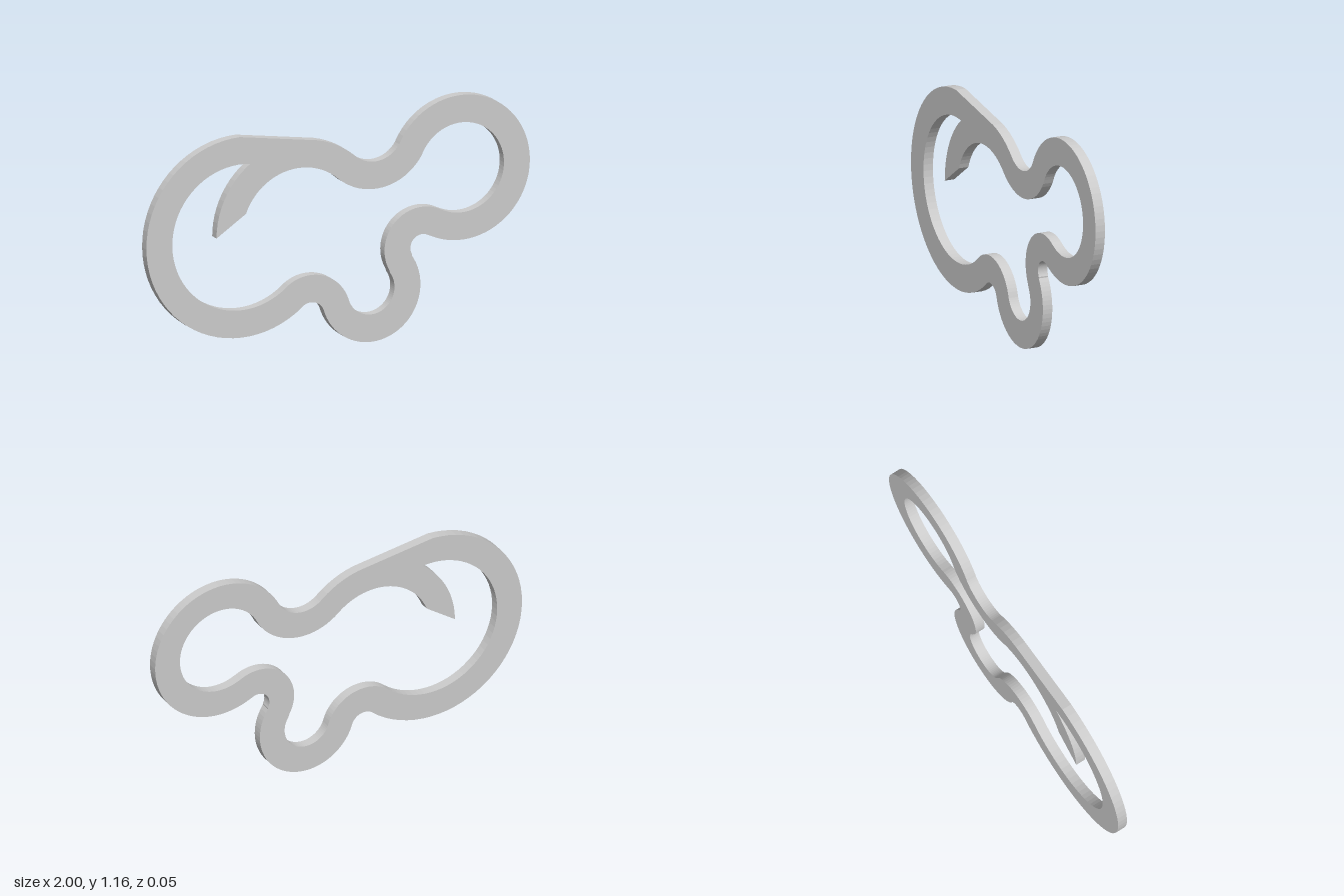
import * as THREE from 'three';

const HALF = 0.0675;   // half the band width
const DEPTH = 0.05;
const STEP = THREE.MathUtils.degToRad(5);
const TAU = Math.PI * 2;
const rad = THREE.MathUtils.degToRad;

// Chain of touching circles along the band's centre line, counter-clockwise.
// side +1: lobe bulging outward, side -1: notch curving inward.
const CHAIN = [
  { x: -0.505, y: 0.592, r: 0.4275, side: 1 },   // big left lobe
  { x: -0.142, y: 0.16, r: 0.1375, side: -1 },   // lower left notch
  { x: 0.17, y: 0.257, r: 0.1895, side: 1 },     // bottom lobe
  { x: 0.437, y: 0.439, r: 0.1295, side: -1 },   // lower right notch
  { x: 0.64, y: 0.807, r: 0.2895, side: 1 },     // right lobe
  { x: 0.189, y: 1.037, r: 0.2175, side: -1 },   // upper valley
  { x: -0.2, y: 0.6, r: 0.3675, side: 1 },       // hump that ends in the tail
];

const mod = (a) => ((a % TAU) + TAU) % TAU;
const heading = (from, to) => Math.atan2(to.y - from.y, to.x - from.x);

function arc(c, radius, start, end, side) {
  const sweep = side * mod(side * (end - start));
  const n = Math.max(2, Math.ceil(Math.abs(sweep) / STEP));
  return Array.from({ length: n + 1 }, (_, i) => {
    const a = start + (sweep * i) / n;
    return new THREE.Vector2(c.x + radius * Math.cos(a), c.y + radius * Math.sin(a));
  });
}

// Edge of the band at an offset from its centre line
function bandEdge(offset, firstAngle, lastAngle) {
  const points = [];
  CHAIN.forEach((c, i) => {
    const start = i === 0 ? firstAngle : heading(c, CHAIN[i - 1]);
    const end = i === CHAIN.length - 1 ? lastAngle : heading(c, CHAIN[i + 1]);
    const part = arc(c, c.r + c.side * offset, start, end, c.side);
    points.push(...(i === 0 ? part : part.slice(1)));
  });
  return points;
}

export function createModel() {
  const group = new THREE.Group();
  group.name = 'cutterOutline';

  // Outer edge; closing it draws the straight bridge from hump to left lobe
  const shape = new THREE.Shape(bandEdge(HALF, rad(91), rad(78)));

  // Opening, with the tail's slanted end and outer curve
  const hump = CHAIN[CHAIN.length - 1];
  const opening = bandEdge(-HALF, rad(82.7), rad(159.5));
  const tailBack = arc(hump, hump.r + HALF, Math.PI, rad(126.6), -1);
  opening.push(...tailBack.slice(0, -1));
  shape.holes.push(new THREE.Path(opening));

  const geometry = new THREE.ExtrudeGeometry(shape, { depth: DEPTH, bevelEnabled: false });
  geometry.translate(0, 0, -DEPTH / 2);
  const band = new THREE.Mesh(geometry, new THREE.MeshStandardMaterial({ color: 0xcccccc }));
  band.name = 'bandWithTail';
  group.add(band);
  return group;
}
